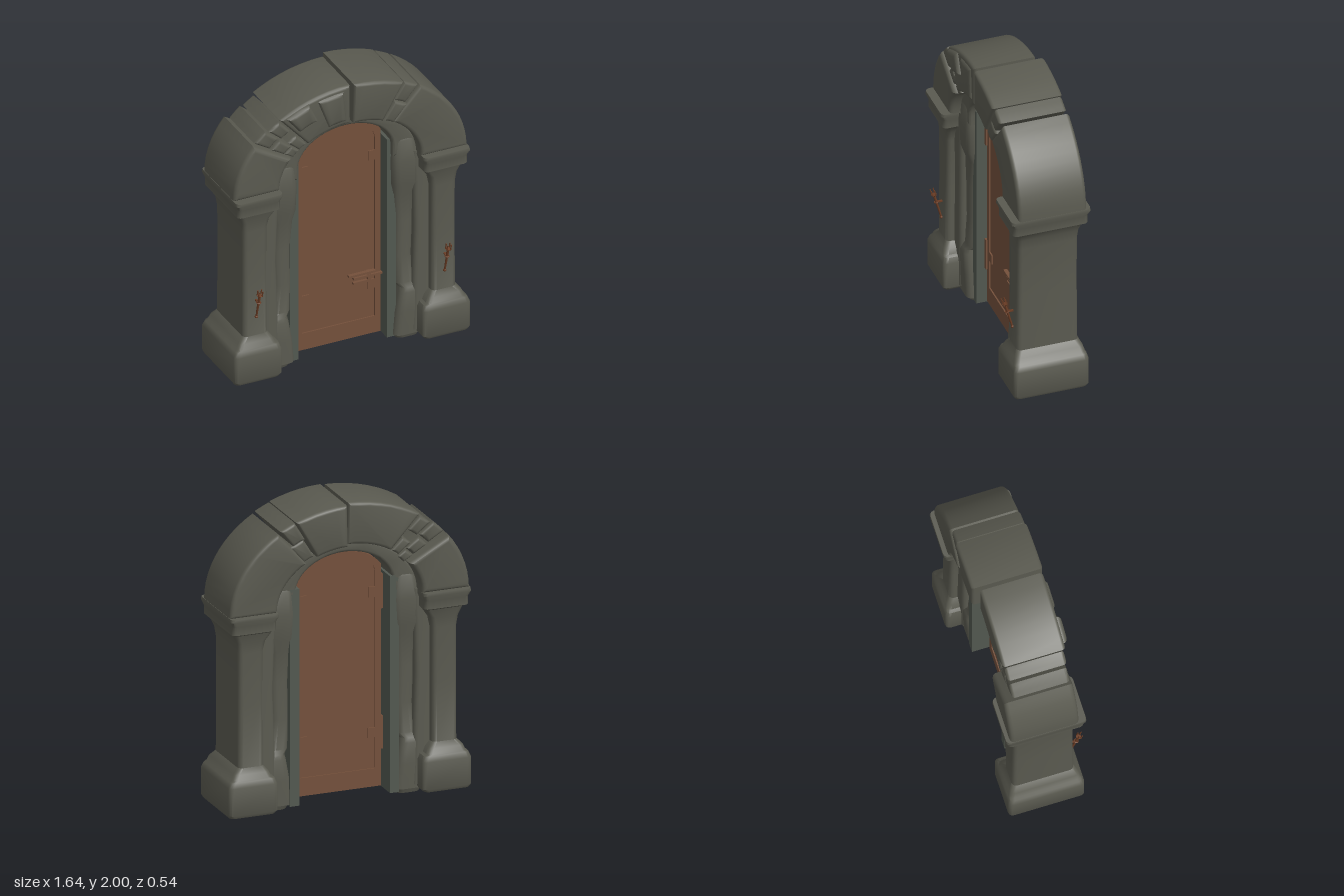
import * as THREE from 'three';
import { toCreasedNormals } from 'three/addons/utils/BufferGeometryUtils.js';

const mat = (name, color) => {
  const m = new THREE.MeshStandardMaterial({ color });
  m.name = name;
  return m;
};

// Rounded-rectangle cross-sections stacked upward; rows are [y, xMin, xMax, halfDepth]
function loft(rows, side, radius = 0.03) {
  const pos = [], idx = [], n = 16;
  for (const [y, a, b, d] of rows) {
    const cx = side * (a + b) / 2, w = (b - a) / 2, r = Math.min(radius, w, d);
    for (let i = 0; i < n; i++) {
      const corner = Math.floor(i / 4), t = (corner + (i % 4) / 3) * Math.PI / 2;
      const sx = corner === 0 || corner === 3 ? 1 : -1, sz = corner < 2 ? -1 : 1;
      pos.push(cx + sx * (w - r) + r * Math.cos(t), y, sz * (d - r) - r * Math.sin(t));
    }
  }
  for (let k = 0; k < rows.length - 1; k++) {
    for (let i = 0; i < n; i++) {
      const a = k * n + i, b = k * n + (i + 1) % n;
      idx.push(a, b, b + n, a, b + n, a + n);
    }
  }
  const top = (rows.length - 1) * n;
  for (let i = 1; i < n - 1; i++) idx.push(0, i + 1, i, top, top + i, top + i + 1);
  const g = new THREE.BufferGeometry();
  g.setAttribute('position', new THREE.Float32BufferAttribute(pos, 3));
  g.setIndex(idx);
  return toCreasedNormals(g, 0.7);
}

// Extrusion between two depths with rounded rims that stay inside the outline
function slab(shape, z0, z1, bevel) {
  const g = new THREE.ExtrudeGeometry(shape, {
    depth: z1 - z0 - 2 * bevel, bevelEnabled: bevel > 0, bevelSize: bevel,
    bevelThickness: bevel, bevelOffset: -bevel, bevelSegments: 3, curveSegments: 20,
  });
  g.translate(0, 0, z0 + bevel);
  return toCreasedNormals(g, 0.7);
}

// Point on the arch: angle in degrees, f = 0 on the inner curve and 1 on the outer
function archPoint(deg, f) {
  const t = deg * Math.PI / 180;
  return new THREE.Vector2(
    Math.cos(t) * (0.49 + 0.32 * f), 1.35 + Math.sin(t) * (0.375 + 0.275 * f));
}

function archStone([t0, t1, f0, f1, z0, z1, bevel]) {
  const pts = [], steps = Math.max(3, Math.round((t1 - t0) / 5));
  for (let i = 0; i <= steps; i++) pts.push(archPoint(t0 + (t1 - t0) * i / steps, f1));
  for (let i = steps; i >= 0; i--) pts.push(archPoint(t0 + (t1 - t0) * i / steps, f0));
  return slab(new THREE.Shape(pts), z0, z1, bevel);
}

// Mirrored outline from points on the right side, bottom to top, closed by a curved head
function symmetrical(right, head) {
  const left = right.map(([x, y]) => [-x, y]).reverse();
  const v = (list) => list.map(([x, y]) => new THREE.Vector2(x, y));
  const crown = new THREE.SplineCurve(v([...head, ...head.slice(0, -1).map(([x, y]) => [-x, y]).reverse()]));
  return [...v(right), ...crown.getPoints(20), ...v(left)];
}

export function createModel() {
  const root = new THREE.Group();
  root.name = 'archedDoorway';
  const stone = mat('stone', 0x5a5a50);
  const jambStone = mat('jambStone', 0x525850);
  const wood = mat('wood', 0x74503b);
  const rust = mat('rust', 0x6b3d25);

  const add = (name, geometry, material, parent = root) => {
    const m = new THREE.Mesh(geometry, material);
    m.name = name;
    parent.add(m);
    return m;
  };
  const box = (name, x0, x1, y0, y1, z0, z1, material, parent) =>
    add(name, new THREE.BoxGeometry(x1 - x0, y1 - y0, z1 - z0), material, parent)
      .position.set((x0 + x1) / 2, (y0 + y1) / 2, (z0 + z1) / 2);

  for (const side of [1, -1]) {
    const p = side > 0 ? 'left' : 'right';
    // Outer pillar with plinth, shaft and capital
    add(p + 'Pillar', loft([
      [0.03, 0.505, 0.81, 0.24], [0.05, 0.49, 0.82, 0.25], [0.23, 0.49, 0.82, 0.25],
      [0.265, 0.505, 0.805, 0.24], [0.275, 0.525, 0.79, 0.235], [0.31, 0.54, 0.775, 0.225],
      [0.345, 0.57, 0.74, 0.203], [0.75, 0.572, 0.738, 0.2], [1.1, 0.57, 0.74, 0.2],
      [1.17, 0.555, 0.75, 0.207], [1.23, 0.515, 0.775, 0.222], [1.245, 0.5, 0.8, 0.25],
      [1.3, 0.5, 0.8, 0.25], [1.335, 0.488, 0.815, 0.265], [1.355, 0.49, 0.812, 0.262],
    ], side), stone);
    // Narrow half-shaft between the pillar and the inner column
    add(p + 'HalfShaft', loft([
      [0.06, 0.46, 0.62, 0.15], [0.5, 0.47, 0.62, 0.15], [0.8, 0.48, 0.62, 0.145],
      [1.12, 0.47, 0.62, 0.15], [1.36, 0.45, 0.62, 0.15],
    ], side), stone);
    // Inner column with foot and swollen head
    add(p + 'InnerColumn', loft([
      [0, 0.37, 0.53, 0.11], [0.03, 0.36, 0.54, 0.12], [0.035, 0.345, 0.555, 0.14],
      [0.2, 0.36, 0.545, 0.145], [0.34, 0.385, 0.55, 0.145], [0.37, 0.39, 0.54, 0.135],
      [0.4, 0.365, 0.5, 0.12], [0.6, 0.355, 0.48, 0.115], [0.85, 0.36, 0.49, 0.115],
      [1.05, 0.345, 0.495, 0.12], [1.13, 0.335, 0.52, 0.145], [1.3, 0.33, 0.52, 0.15],
      [1.45, 0.34, 0.49, 0.145], [1.5, 0.36, 0.45, 0.12],
    ], side, 0.045), stone);
    // Flat door jamb
    const [j0, j1] = side > 0 ? [0.305, 0.37] : [-0.37, -0.308];
    box(p + 'Jamb', j0, j1, 0.022, 1.46, -0.14, 0.1, jambStone);

    // Wall torch leaning out from its bracket
    const torch = new THREE.Group();
    torch.name = p + 'Torch';
    torch.position.set(side * 0.655, 0.48, 0.207);
    root.add(torch);
    const stick = new THREE.Group();
    stick.name = 'torchStick';
    stick.rotation.x = 0.27;
    torch.add(stick);
    add('handle', new THREE.CylinderGeometry(0.009, 0.006, 0.18, 8), rust, stick).position.y = 0.09;
    add('knob', new THREE.SphereGeometry(0.011, 8, 6), rust, stick);
    add('cup', new THREE.CylinderGeometry(0.018, 0.009, 0.015, 8), rust, stick).position.y = 0.18;
    for (let i = 0; i < 4; i++) {
      const a = i * Math.PI / 2 + Math.PI / 4;
      add('prong', new THREE.BoxGeometry(0.006, 0.045, 0.006), rust, stick)
        .position.set(0.018 * Math.cos(a), 0.203, 0.014 * Math.sin(a));
    }
    box('bracket', -0.006, 0.006, 0.115, 0.125, -0.01, 0.04, rust, torch);
    add('ring', new THREE.TorusGeometry(0.013, 0.004, 6, 12).rotateX(Math.PI / 2), rust, stick).position.y = 0.125;
  }

  // Arch stones: [angle from, to, inner, outer, back, front, rounding]
  const stones = {
    leftSpringer: [0, 53.5, 0, 1, -0.235, 0.22, 0.025],
    leftOuterFiller: [55, 63, 0.52, 1, -0.225, 0.225, 0.02],
    leftInnerFiller: [53, 62.5, 0, 0.5, -0.2, 0.225, 0.02],
    leftCrown: [63.5, 88.8, 0, 1, -0.235, 0.235, 0.022],
    rightCrown: [90.6, 127.5, 0, 1, -0.19, 0.225, 0.022],
    crownBulgeA: [94, 108, 0.1, 0.9, 0.17, 0.24, 0.03],
    crownBulgeB: [112, 125, 0.45, 0.95, 0.17, 0.252, 0.03],
    fillerA: [128.5, 135.5, 0.56, 0.95, -0.18, 0.21, 0.02],
    fillerB: [136.5, 144.5, 0.6, 1, -0.18, 0.2, 0.02],
    fillerC: [137, 145, 0.2, 0.55, -0.18, 0.2, 0.02],
    fillerD: [128.5, 136, 0, 0.36, -0.18, 0.21, 0.018],
    fillerE: [137, 145, -0.05, 0.17, -0.18, 0.19, 0.015],
    rightSpringer: [146, 180, 0, 1, -0.24, 0.215, 0.03],
  };
  for (const [name, spec] of Object.entries(stones)) add(name, archStone(spec), stone);

  // Inner arch trim
  const trim = new THREE.Shape();
  trim.absellipse(0, 1.35, 0.5, 0.385, 0, Math.PI, false);
  trim.lineTo(-0.33, 1.35);
  trim.absellipse(0, 1.42, 0.33, 0.24, Math.PI, 0, true);
  trim.lineTo(0.33, 1.35);
  add('innerArch', slab(trim, -0.14, 0.14, 0.018), stone);

  // Door: frame around a recessed panel with notched corners
  const door = new THREE.Group();
  door.name = 'door';
  root.add(door);
  const frame = new THREE.Shape(symmetrical([[0.293, 0.04]],
    [[0.293, 1.51], [0.25, 1.555], [0.16, 1.605], [0, 1.632]]));
  const opening = symmetrical([
    [0.253, 0.16], [0.253, 0.365], [0.205, 0.365], [0.205, 0.43], [0.253, 0.43],
    [0.253, 1.295], [0.21, 1.295], [0.21, 1.365], [0.253, 1.365], [0.253, 1.44],
  ], [[0.253, 1.46], [0.235, 1.51], [0.15, 1.575], [0, 1.6]]);
  frame.holes.push(new THREE.Path(opening));
  add('doorFrame', slab(frame, -0.03, 0.035, 0), wood, door);
  add('doorPanel', slab(new THREE.Shape(opening), -0.022, 0.026, 0), wood, door);

  // Hinges on one side, latch on the other
  for (const [y0, y1] of [[0.28, 0.5], [1.21, 1.44]]) {
    box('hinge', -0.312, -0.285, y0, y1, -0.02, 0.045, wood, door);
  }
  box('latchBar', 0.1, 0.298, 0.462, 0.476, 0.02, 0.05, wood, door);
  box('latchPlate', 0.1, 0.21, 0.425, 0.44, 0.02, 0.045, wood, door);
  box('latchHandle', 0.065, 0.25, 0.488, 0.502, 0.03, 0.055, wood, door);
  box('latchPost', 0.2, 0.22, 0.425, 0.502, 0.02, 0.048, wood, door);

  return root;
}
